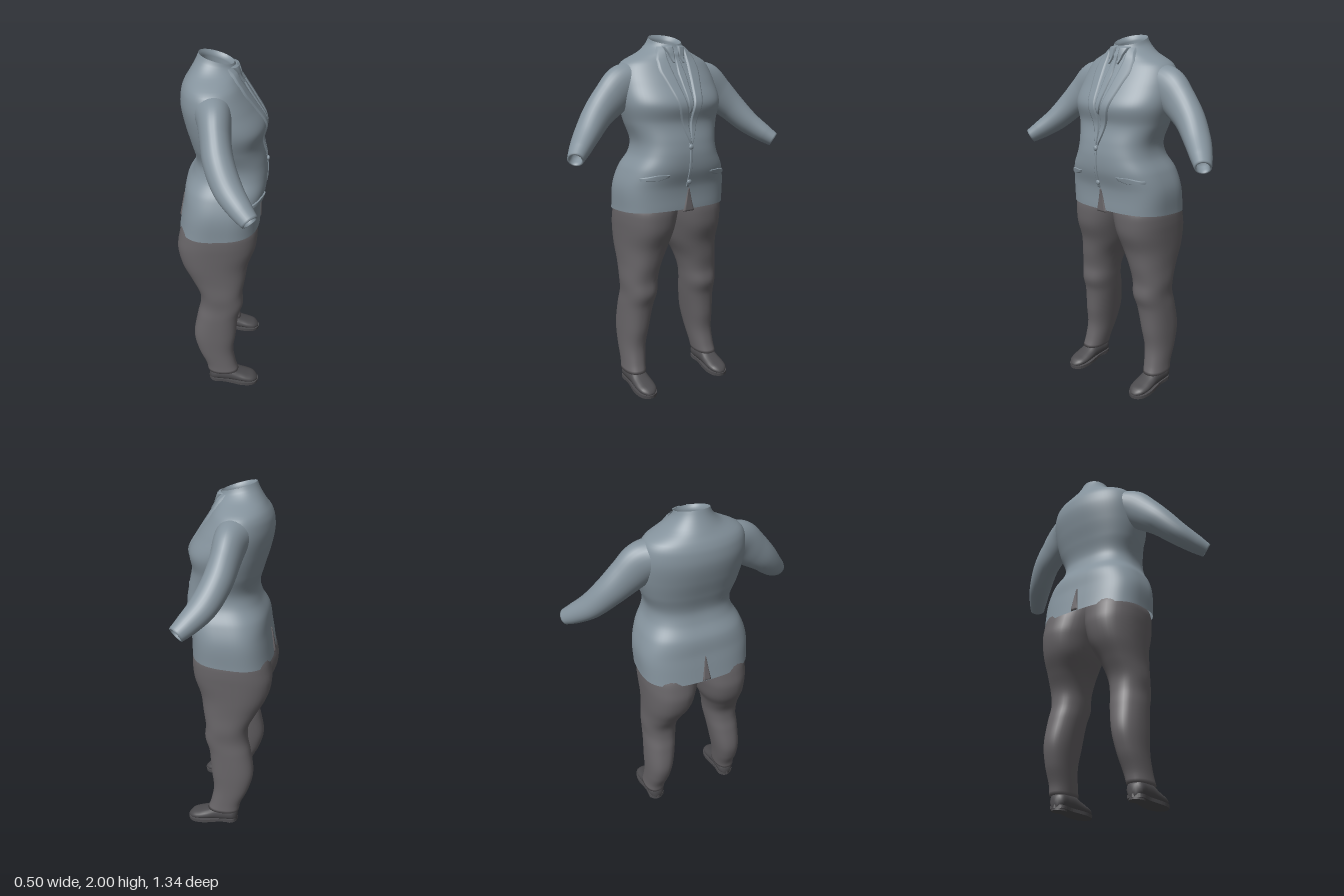
import * as THREE from 'three';

const jacketCloth = new THREE.MeshStandardMaterial({ color: 0x84929c, side: THREE.DoubleSide });
jacketCloth.name = 'jacketCloth';
const trouserCloth = new THREE.MeshStandardMaterial({ color: 0x676467, side: THREE.DoubleSide });
trouserCloth.name = 'trouserCloth';
const shoeLeather = new THREE.MeshStandardMaterial({ color: 0x4c4b4e, side: THREE.DoubleSide });
shoeLeather.name = 'shoeLeather';

// The figure faces +x. Rows run low to high: [y, back x, front x, half width]
const TORSO = [
  [1.065, -0.24, 0.21, 0.315], [1.2, -0.215, 0.212, 0.315], [1.3, -0.2, 0.238, 0.285],
  [1.38, -0.16, 0.242, 0.242], [1.45, -0.145, 0.232, 0.234], [1.55, -0.17, 0.21, 0.265],
  [1.65, -0.2, 0.225, 0.29], [1.75, -0.22, 0.17, 0.29], [1.82, -0.215, 0.125, 0.275],
  [1.86, -0.2, 0.1, 0.25], [1.885, -0.185, 0.085, 0.205], [1.91, -0.17, 0.078, 0.15],
  [1.935, -0.15, 0.07, 0.115], [1.955, -0.135, 0.062, 0.096], [1.975, -0.125, 0.055, 0.088],
];
// [y, back x, front x, inner z, outer z]
const LEG = [
  [0.1, -0.08, 0.105, 0.188, 0.312], [0.15, -0.09, 0.088, 0.18, 0.308], [0.25, -0.135, 0.072, 0.165, 0.306],
  [0.36, -0.16, 0.086, 0.145, 0.306], [0.5, -0.14, 0.1, 0.12, 0.302], [0.58, -0.122, 0.125, 0.108, 0.298],
  [0.66, -0.125, 0.12, 0.098, 0.302], [0.75, -0.17, 0.135, 0.075, 0.298], [0.85, -0.225, 0.152, 0.03, 0.3],
  [0.95, -0.247, 0.188, 0.004, 0.304], [1.02, -0.238, 0.197, -0.012, 0.306], [1.08, -0.222, 0.195, -0.02, 0.3],
  [1.16, -0.18, 0.17, -0.02, 0.26],
];
// [x, y, z, radius along x, radius across]
const ARM = [
  [-0.045, 1.775, 0.19, 0.1, 0.095], [-0.03, 1.735, 0.27, 0.085, 0.112], [-0.02, 1.675, 0.345, 0.077, 0.1],
  [0.0, 1.6, 0.43, 0.076, 0.082], [0.05, 1.507, 0.52, 0.072, 0.066], [0.115, 1.44, 0.595, 0.058, 0.052],
  [0.158, 1.404, 0.638, 0.045, 0.04],
];

// Smooth lookup in a table sorted by its first column
function lookup(table, t) {
  let i = 0;
  while (i < table.length - 2 && t > table[i + 1][0]) i++;
  const p = table[i], q = table[i + 1], o = table[Math.max(i - 1, 0)], r = table[Math.min(i + 2, table.length - 1)];
  const h = q[0] - p[0], k = Math.min(Math.max((t - p[0]) / h, 0), 1);
  return p.map((a, c) => {
    const m0 = (q[c] - o[c]) / (q[0] - o[0]) * h, m1 = (r[c] - p[c]) / (r[0] - p[0]) * h;
    const d = q[c] - a;
    return a + k * (m0 + k * (3 * d - 2 * m0 - m1 + k * (m0 + m1 - 2 * d)));
  });
}

// Surface over u, v in 0..1; "closed" joins the v ends, caps fill the u ends
function surface(rows, cols, fn, { closed = true, caps = false, flip = false } = {}) {
  const pos = [], index = [], n = closed ? cols : cols + 1;
  for (let i = 0; i <= rows; i++) for (let j = 0; j < n; j++) pos.push(...fn(i / rows, j / cols));
  const tri = (a, b, c) => (flip ? index.push(a, c, b) : index.push(a, b, c));
  for (let i = 0; i < rows; i++) for (let j = 0; j < cols; j++) {
    const a = i * n + j, b = i * n + (j + 1) % n;
    tri(a, a + n, b);
    tri(b, a + n, b + n);
  }
  if (caps) for (const row of [0, rows]) {
    const mid = [0, 0, 0], centre = pos.length / 3;
    for (let j = 0; j < n; j++) for (let c = 0; c < 3; c++) mid[c] += pos[(row * n + j) * 3 + c] / n;
    pos.push(...mid);
    for (let j = 0; j < n; j++) {
      const a = row * n + j, b = row * n + (j + 1) % n;
      row ? tri(a, centre, b) : tri(a, b, centre);
    }
  }
  const g = new THREE.BufferGeometry();
  g.setAttribute('position', new THREE.Float32BufferAttribute(pos, 3));
  g.setIndex(index);
  g.computeVertexNormals();
  return g;
}

function add(parent, name, geometry, material) {
  const mesh = new THREE.Mesh(geometry, material);
  mesh.name = name;
  parent.add(mesh);
  return mesh;
}

const power = (v, n) => Math.sign(v) * Math.abs(v) ** (2 / n);
const roundness = (y) => THREE.MathUtils.lerp(2.9, 2.1, THREE.MathUtils.smoothstep(y, 1.15, 1.85));
const tilt = (y) => 0.015 * (1 - THREE.MathUtils.smoothstep(y, 1.06, 1.16)) - 0.025 * THREE.MathUtils.smoothstep(y, 1.9, 1.975);

function torsoPoint(y, angle, scale = 1) {
  const [, back, front, w] = lookup(TORSO, y), n = roundness(y);
  const c = power(Math.cos(angle), n), s = power(Math.sin(angle), n);
  return [(back + front) / 2 + scale * c * (front - back) / 2, y + tilt(y) * c, scale * w * s];
}

// x on the front (side 1) or back (side -1) of the torso
function torsoX(y, z, side) {
  const [, back, front, w] = lookup(TORSO, y), n = roundness(y);
  const k = (1 - Math.min(Math.abs(z / w), 0.999) ** n) ** (1 / n);
  return (back + front) / 2 + side * k * (front - back) / 2;
}

// Raised cloth patch following the torso; rows low to high: [y, z from, z to]
function patch(rows, { lift = 0.009, side = 1, mirror = 1 } = {}) {
  const y0 = rows[0][0], y1 = rows[rows.length - 1][0];
  return surface(24, 10, (u, v) => {
    const y = y0 + (y1 - y0) * u;
    let i = 0;
    while (i < rows.length - 2 && y > rows[i + 1][0]) i++;
    const k = (y - rows[i][0]) / (rows[i + 1][0] - rows[i][0]);
    const a = THREE.MathUtils.lerp(rows[i][1], rows[i + 1][1], k), b = THREE.MathUtils.lerp(rows[i][2], rows[i + 1][2], k);
    const z = mirror * (a + (b - a) * v), edge = v === 0 || v === 1 || u === 0 || u === 1;
    return [torsoX(y, z, side) + side * (edge ? -0.002 : lift), y, z];
  }, { closed: false, flip: mirror * side < 0 });
}

function buildJacket() {
  const jacket = new THREE.Group();
  jacket.name = 'jacket';
  const put = (name, g, m = jacketCloth) => add(jacket, name, g, m);
  put('jacketBody', surface(80, 64, (u, v) => torsoPoint(1.065 + 0.91 * u, v * Math.PI * 2)));
  put('neckLining', surface(6, 48, (u, v) => {
    const p = torsoPoint(1.975, v * Math.PI * 2, 1 - 0.14 * Math.min(u * 3, 1));
    p[1] -= 0.06 * u;
    return p;
  }));
  for (const m of [1, -1]) {
    const side = m > 0 ? 'right' : 'left';
    put(side + 'Lapel', patch([[1.43, 0, 0.004], [1.5, 0.002, 0.03], [1.6, 0.01, 0.062], [1.75, 0.038, 0.105],
      [1.83, 0.05, 0.13], [1.845, 0.052, 0.11], [1.86, 0.054, 0.128], [1.9, 0.056, 0.11], [1.94, 0.062, 0.09]], { mirror: m }));
    put(side + 'ShirtCollar', patch([[1.855, 0.028, 0.032], [1.9, 0.014, 0.048], [1.945, 0.014, 0.07]], { lift: 0.012, mirror: m }));
    put(side + 'PocketFlap', patch([[1.252, 0.19, 0.268], [1.268, 0.13, 0.275], [1.285, 0.125, 0.2]], { lift: 0.008, mirror: m }));
  }
  put('tie', patch([[1.6, -0.003, 0.003], [1.65, -0.015, 0.015], [1.8, -0.024, 0.024], [1.875, -0.012, 0.012], [1.92, -0.02, 0.02]], { lift: 0.008 }));
  put('frontOverlap', patch([[1.2, 0, 0.02], [1.45, -0.004, 0.012]], { lift: 0.005 }));
  for (const y of [1.235, 1.425]) {
    const button = put('button', new THREE.SphereGeometry(0.014, 16, 10));
    button.scale.x = 0.6;
    button.position.set(torsoX(y, 0, 1) + 0.006, y, 0.006);
  }
  // Openings at the hem show the trousers beneath
  put('frontOpening', patch([[1.066, -0.04, 0.034], [1.2, -0.002, 0.002]], { lift: 0.006 }), trouserCloth);
  put('backVent', patch([[1.052, -0.025, 0.025], [1.2, -0.002, 0.002]], { lift: 0.006, side: -1 }), trouserCloth);
  return jacket;
}

function buildSleeve(s) {
  const curve = new THREE.CatmullRomCurve3(ARM.map((p) => new THREE.Vector3(p[0], p[1], s * p[2])));
  const widths = ARM.map((p, i) => [i / (ARM.length - 1), p[3], p[4]]);
  return surface(52, 28, (u, v) => {
    // Past the wrist the cloth turns back inside as a lining
    const t = Math.min(u * 52 / 48, 1), inside = Math.max(u * 52 - 48, 0);
    const at = curve.getPoint(t), dir = curve.getTangent(t);
    const a = new THREE.Vector3(1, 0, 0).addScaledVector(dir, -dir.x).normalize();
    const b = a.clone().cross(dir);
    const [, ra, rb] = lookup(widths, t), k = inside ? 0.78 : 1;
    at.addScaledVector(dir, -0.02 * Math.max(inside - 1, 0));
    at.addScaledVector(a, k * ra * Math.cos(v * Math.PI * 2)).addScaledVector(b, k * rb * Math.sin(v * Math.PI * 2));
    return at.toArray();
  }, { caps: true });
}

function buildTrouserLeg(s) {
  return surface(64, 36, (u, v) => {
    const y = 0.1 + 1.06 * u, [, back, front, zi, zo] = lookup(LEG, y), a = v * Math.PI * 2;
    return [(back + front) / 2 + power(Math.cos(a), 2.3) * (front - back) / 2, y,
      s * ((zi + zo) / 2 + power(Math.sin(a), 2.3) * (zo - zi) / 2)];
  }, { caps: true, flip: s < 0 });
}

function buildShoe() {
  const shoe = new THREE.Group();
  // [x, half width, top y]
  const upper = [[-0.07, 0.022, 0.09], [-0.05, 0.046, 0.115], [0.0, 0.05, 0.12], [0.06, 0.052, 0.115],
    [0.11, 0.056, 0.09], [0.16, 0.056, 0.07], [0.2, 0.044, 0.055], [0.222, 0.018, 0.035]];
  add(shoe, 'shoeUpper', surface(30, 24, (u, v) => {
    const x = -0.07 + 0.292 * u, [, w, top] = lookup(upper, x), a = v * Math.PI * 2, base = 0.025 - 0.04 * x;
    return [x, (top + base) / 2 + Math.cos(a) * (top - base) / 2, -w * power(Math.sin(a), 2.6)];
  }, { caps: true }), shoeLeather);
  const outline = new THREE.Shape(new THREE.SplineCurve([[-0.074, 0], [-0.05, 0.046], [0.03, 0.047], [0.13, 0.062], [0.2, 0.048],
    [0.228, 0], [0.2, -0.048], [0.13, -0.062], [0.03, -0.047], [-0.05, -0.046], [-0.074, 0]]
    .map((p) => new THREE.Vector2(...p))).getPoints(50));
  const sole = add(shoe, 'sole', new THREE.ExtrudeGeometry(outline, { depth: 0.018, bevelEnabled: false }).rotateX(-Math.PI / 2), shoeLeather);
  sole.position.y = 0.022;
  sole.rotation.z = -0.085;
  const heel = add(shoe, 'heel', new THREE.CylinderGeometry(0.042, 0.042, 0.022, 24), shoeLeather);
  heel.position.set(-0.028, 0.026, 0);
  heel.rotation.z = -0.085;
  return shoe;
}

export function createModel() {
  const model = new THREE.Group();
  model.name = 'suit';
  const jacket = buildJacket();
  model.add(jacket);
  for (const s of [1, -1]) {
    const side = s > 0 ? 'right' : 'left';
    add(jacket, side + 'Sleeve', buildSleeve(s), jacketCloth);
    add(model, side + 'TrouserLeg', buildTrouserLeg(s), trouserCloth);
    const shoe = buildShoe();
    shoe.name = side + 'Shoe';
    shoe.position.set(0, 0, s * 0.248);
    model.add(shoe);
  }
  return model;
}
